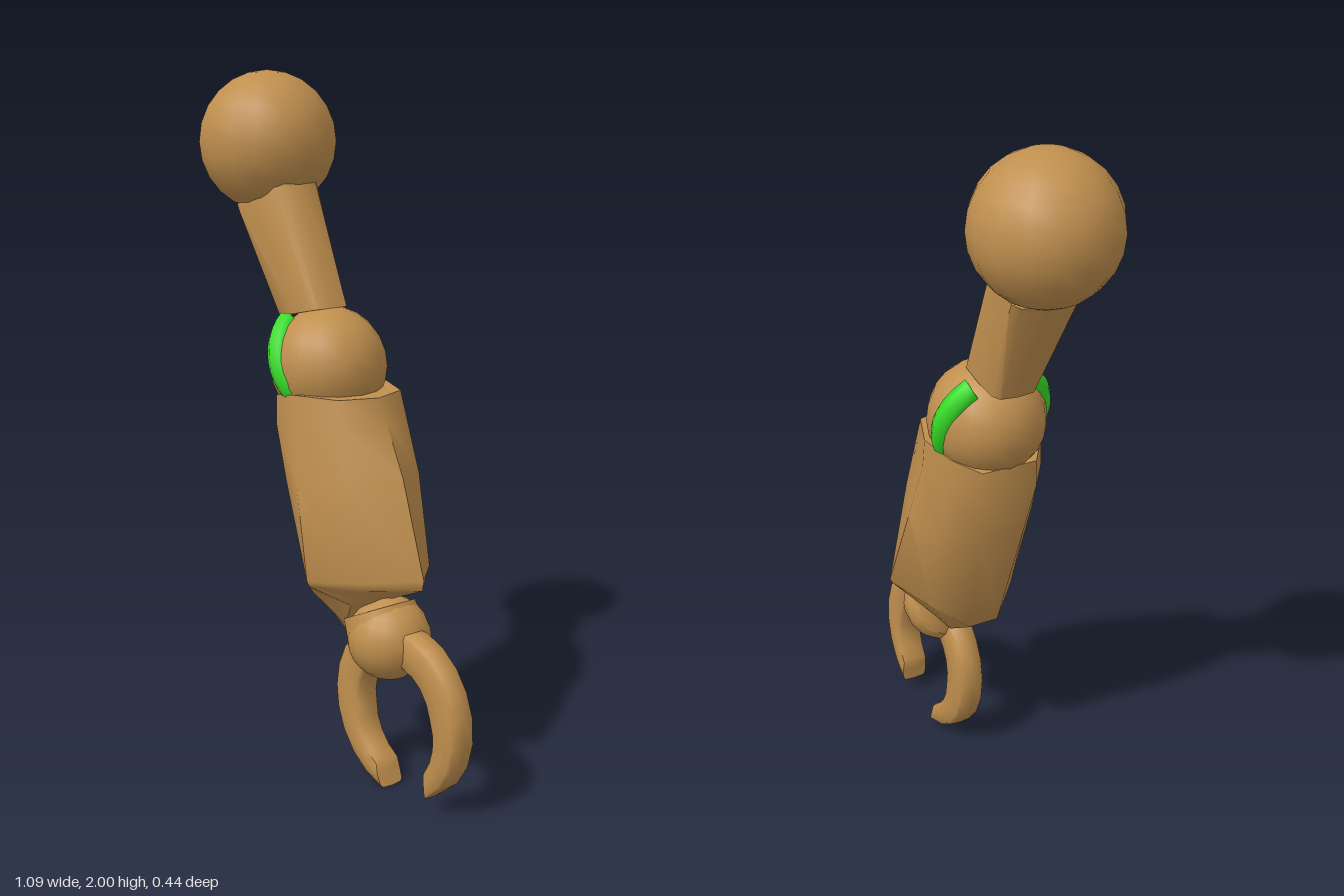
import * as THREE from 'three';
import { toCreasedNormals } from 'three/addons/utils/BufferGeometryUtils.js';

const tan = new THREE.MeshStandardMaterial({ color: 0xc08f4e });
const green = new THREE.MeshStandardMaterial({ color: 0x38e028 });

// Skin a list of equal-length point rings and cap both ends.
function loft(rings, crease) {
  const n = rings[0].length, pos = [];
  const tri = (...pts) => pts.forEach((p) => pos.push(...p));
  const middle = (r) => [0, 1, 2].map((k) => r.reduce((s, p) => s + p[k], 0) / n);
  const first = rings[0], last = rings[rings.length - 1];
  const c0 = middle(first), c1 = middle(last);
  for (let j = 0; j < n; j++) {
    const k = (j + 1) % n;
    for (let i = 0; i < rings.length - 1; i++) {
      const a = rings[i], b = rings[i + 1];
      tri(a[j], a[k], b[j]);
      tri(a[k], b[k], b[j]);
    }
    tri(c0, first[k], first[j]);
    tri(c1, last[j], last[k]);
  }
  const g = new THREE.BufferGeometry();
  g.setAttribute('position', new THREE.Float32BufferAttribute(pos, 3));
  return toCreasedNormals(g, crease);
}

// Boxy oval section of 12 points; a smaller power is squarer.
function oval(power) {
  const soft = (v) => Math.sign(v) * Math.abs(v) ** power;
  return Array.from({ length: 12 }, (_, i) => {
    const a = (i / 12) * Math.PI * 2;
    return [soft(Math.cos(a)), soft(Math.sin(a))];
  });
}

// Complete a half ring (from +x round to -x) with its mirror in z.
function mirrorRing(half) {
  const back = half.filter((p) => Math.abs(p[2]) > 1e-6).reverse();
  return [...half, ...back.map(([x, y, z]) => [x, y, -z])];
}

// Claw finger: a boxy section swept from root to tip, with a thin slanted tip.
function finger(root, tip) {
  const steps = 10, rings = [];
  const way = Math.sign(tip - root);
  for (let i = 0; i <= steps; i++) {
    const t = i / steps;
    const end = Math.max(0, (t - 0.6) / 0.4);
    const w = 0.055 - 0.021 * end;
    const outer = 0.24 + 0.015 * t + 0.014 * Math.sin(Math.PI * t);
    rings.push(oval(0.4).map(([u, v]) => {
      const a = THREE.MathUtils.degToRad(root + (tip - root) * t + way * 6 * end * u);
      const r = outer - w + u * w;
      return [0.28 + r * Math.cos(a), 0.253 + r * Math.sin(a), v * 0.042];
    }));
  }
  return loft(way > 0 ? rings.reverse() : rings, 0.9);
}

// Elbow band: a thin raised strip following the elbow ball on one side.
function band(side) {
  const steps = 12, rings = [];
  const along = [-0.39, 0.92], across = [0.92, 0.39];
  const section = [[0.03, 0.145], [0.028, 0.17], [0, 0.182], [-0.028, 0.17], [-0.03, 0.145]];
  for (let i = 0; i <= steps; i++) {
    const a = THREE.MathUtils.degToRad(-50 + (105 * i) / steps);
    rings.push(section.map(([w, r]) => [
      -0.083 + along[0] * r * Math.sin(a) + across[0] * w,
      1.198 + along[1] * r * Math.sin(a) + across[1] * w,
      side * r * Math.cos(a)]));
  }
  return loft(side > 0 ? rings.reverse() : rings, 1.2);
}

export function createModel() {
  const group = new THREE.Group();
  const add = (name, geometry, material = tan, x = 0, y = 0) => {
    const mesh = new THREE.Mesh(geometry, material);
    mesh.name = name;
    mesh.position.set(x, y, 0);
    group.add(mesh);
  };

  // Ball joints
  add('shoulderBall', new THREE.SphereGeometry(0.2, 16, 12), tan, -0.345, 1.8);
  add('elbowBall', new THREE.SphereGeometry(0.168, 16, 12), tan, -0.058, 1.187);
  add('wristBall', new THREE.SphereGeometry(0.12, 16, 12), tan, 0.22, 0.45);

  // Upper arm: slanted, wider at its -x side near the shoulder
  const armRing = (x, y, rise, depth, taper) =>
    oval(0.45).map(([u, v]) => [x + u * 0.096, y + u * rise, v * depth * (1 - taper * u)]);
  add('upperArm', loft([
    armRing(-0.285, 1.655, 0.042, 0.095, 0.2),
    armRing(-0.275, 1.635, 0.042, 0.095, 0.2),
    armRing(-0.13, 1.33, 0.022, 0.07, 0),
  ], 0.8));

  // Forearm: narrow flat -x side, swelling to side and +x points at its lower end
  add('forearm', loft([
    [[0.17, 1.13, 0], [0.13, 1.13, 0.11], [0, 1.13, 0.165], [-0.11, 1.11, 0.145], [-0.185, 1.085, 0.085]],
    [[0.205, 1.06, 0], [0.15, 1.06, 0.115], [0, 1.05, 0.172], [-0.11, 1.03, 0.147], [-0.19, 1.01, 0.083]],
    [[0.275, 0.92, 0], [0.19, 0.9, 0.13], [0.05, 0.88, 0.193], [-0.06, 0.87, 0.15], [-0.145, 0.86, 0.073]],
    [[0.365, 0.655, 0], [0.24, 0.64, 0.13], [0.13, 0.635, 0.22], [0.03, 0.57, 0.135], [-0.04, 0.51, 0.048]],
    [[0.36, 0.625, 0], [0.235, 0.615, 0.125], [0.13, 0.62, 0.212], [0.035, 0.56, 0.13], [-0.035, 0.505, 0.045]],
    [[0.215, 0.56, 0], [0.205, 0.56, 0.06], [0.18, 0.555, 0.105], [0.13, 0.48, 0.085], [0.09, 0.43, 0.04]],
  ].map(mirrorRing), 0.95));

  // Wrist neck between forearm and wrist ball
  const neck = new THREE.CylinderGeometry(0.106, 0.114, 0.09, 16);
  neck.rotateZ(0.45);
  add('wristNeck', neck, tan, 0.195, 0.48);

  // Claw
  add('rightFinger', finger(105, 255));
  add('leftFinger', finger(105, -50));

  // Coloured strips on the front and back of the elbow
  add('frontElbowBand', band(1), green);
  add('backElbowBand', band(-1), green);
  return group;
}
